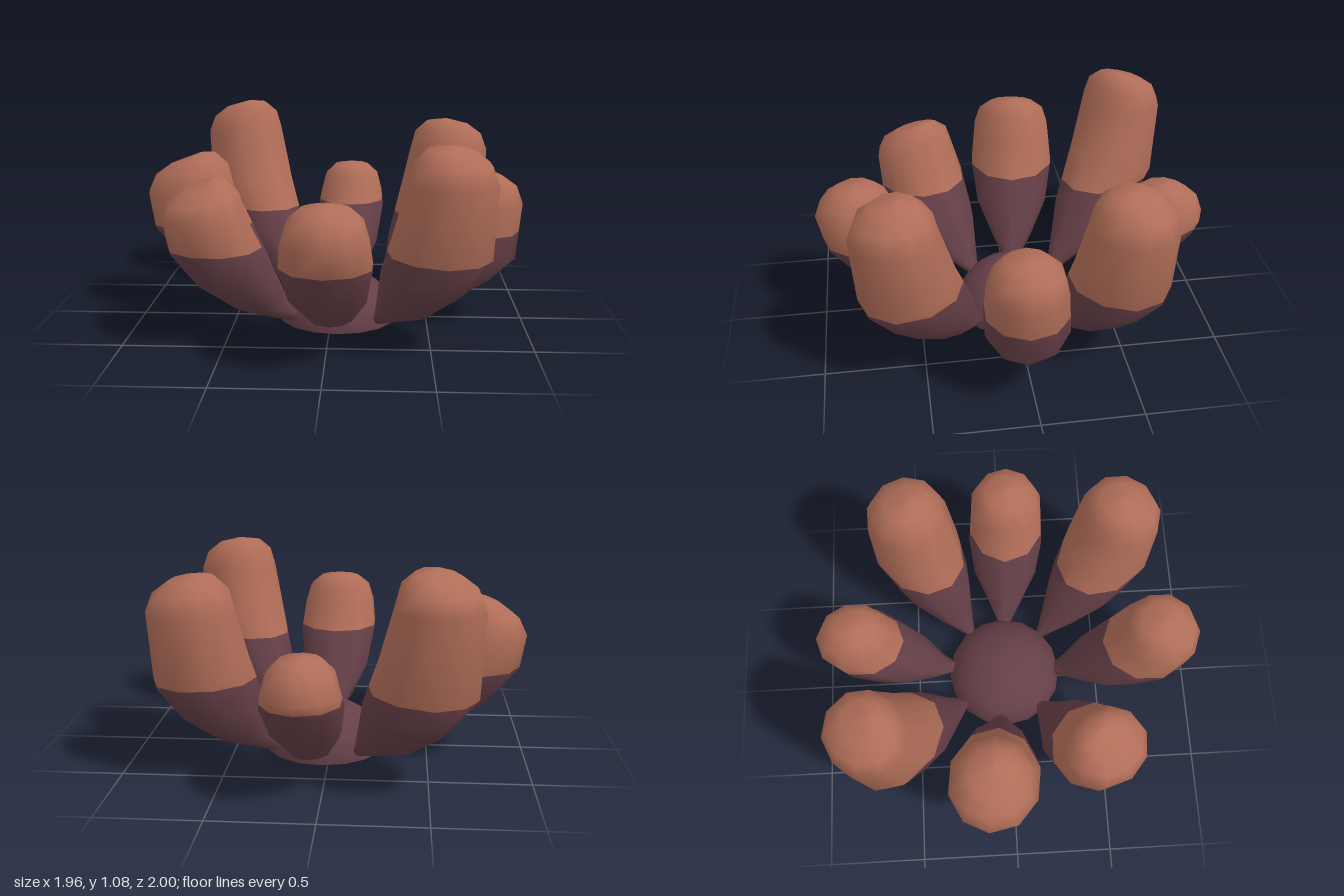
import * as THREE from 'three';

const SIDES = 10;
const COLOUR_LINE = 0.485; // height where the dark base meets the tan tips

const dark = new THREE.MeshStandardMaterial({ color: 0x653f47, side: THREE.DoubleSide });
dark.name = 'dark plum';
const tan = new THREE.MeshStandardMaterial({ color: 0xb06d58, side: THREE.DoubleSide });
tan.name = 'terracotta';

// Closed lobe: each ring is spanned by an outer and an inner point in the radial plane
function lobeGeometry({ root, crown, r, H, tilt = 0, sag = 1, wide = 1 }) {
  const start = new THREE.Vector3(root[0], 0, root[1]);
  const e = new THREE.Vector3(crown[0], 0, crown[1]).sub(start);
  const R = e.length() + r;
  e.normalize();
  const side = new THREE.Vector3(e.z, 0, -e.x);
  const inn = R - 2 * r, drop = 0.8 * tilt * r, lift = 0.25 * tilt * r, w = r * wide;
  // outer distance, outer y, inner distance, inner y, half width
  const rings = [
    [-0.045, 0.06, -0.045, 0.06, 0],
    [0.01, 0.03, -0.015, 0.085, 0.03],
    [0.46 * R, 0.145 * sag, 0.1 * inn, 0.17 * H, 0.52 * w],
    [0.76 * R, 0.295 * sag, 0.35 * inn, 0.37 * H, 0.93 * w],
    [0.96 * R, 0.47 * sag, 0.72 * inn, 0.61 * H, 1.08 * w],
    [R, H - 0.8 * r - drop / 2, inn, H - 0.8 * r, w],
    [R - 0.17 * r, H - 0.34 * r - drop, inn + 0.12 * r, H - 0.34 * r + lift, 0.86 * w],
    [R - 0.55 * r, H - 0.07 * r - drop, inn + 0.42 * r, H - 0.07 * r + lift, 0.54 * w],
    [R - r * (1 + tilt), H, R - r * (1 + tilt), H, 0],
  ];
  const pos = [], index = [];
  rings.forEach(([od, oy, id, iy, half], i) => {
    for (let j = 0; j < SIDES; j++) {
      const a = (j / SIDES) * Math.PI * 2, c = Math.cos(a);
      const p = start.clone()
        .addScaledVector(e, (od + id) / 2 + c * (od - id) / 2)
        .addScaledVector(side, half * Math.sin(a));
      pos.push(p.x, (oy + iy) / 2 + c * (oy - iy) / 2, p.z);
      // Quads between rings, single triangles at the two poles
      const k = (j + 1) % SIDES, n = i * SIDES, m = n + SIDES;
      if (i > 0 && i < rings.length - 1) index.push(n + j, n + k, m + k);
      if (i < rings.length - 2) index.push(n + j, m + k, m + j);
    }
  });
  const g = new THREE.BufferGeometry();
  g.setAttribute('position', new THREE.Float32BufferAttribute(pos, 3));
  g.setIndex(index);
  g.computeVertexNormals();
  return g;
}

// Keeps the part of a geometry above (sign 1) or below (sign -1) a level, with its smooth normals
function clipAt(g, level, sign) {
  const P = g.attributes.position, N = g.attributes.normal, idx = g.index.array;
  const pos = [], nor = [];
  const vert = i => ({
    p: new THREE.Vector3().fromBufferAttribute(P, i),
    n: new THREE.Vector3().fromBufferAttribute(N, i),
  });
  for (let t = 0; t < idx.length; t += 3) {
    const tri = [vert(idx[t]), vert(idx[t + 1]), vert(idx[t + 2])], poly = [];
    tri.forEach((a, i) => {
      const b = tri[(i + 1) % 3];
      const da = (a.p.y - level) * sign, db = (b.p.y - level) * sign;
      if (da >= 0) poly.push(a);
      if (da * db < 0) {
        const f = da / (da - db);
        poly.push({ p: a.p.clone().lerp(b.p, f), n: a.n.clone().lerp(b.n, f).normalize() });
      }
    });
    for (let i = 1; i + 1 < poly.length; i++) {
      for (const v of [poly[0], poly[i], poly[i + 1]]) {
        pos.push(v.p.x, v.p.y, v.p.z);
        nor.push(v.n.x, v.n.y, v.n.z);
      }
    }
  }
  const out = new THREE.BufferGeometry();
  out.setAttribute('position', new THREE.Float32BufferAttribute(pos, 3));
  out.setAttribute('normal', new THREE.Float32BufferAttribute(nor, 3));
  return out;
}

export function createModel() {
  const model = new THREE.Group();
  model.name = 'lobedCluster';

  // Hollow dome, open underneath
  const dome = new THREE.Mesh(
    new THREE.SphereGeometry(0.31, 16, 6, 0, Math.PI * 2, 0, Math.PI / 2), dark);
  dome.scale.y = 0.8;
  dome.position.set(0.035, 0, -0.015);
  dome.name = 'baseDome';
  model.add(dome);

  // Lobes: root and crown in x, z, radius, height, lean of the cap, height of the underside, breadth
  const lobes = {
    frontLobe: { root: [0.025, 0.265], crown: [0.007, 0.793], r: 0.205, H: 0.775 },
    frontLeftLobe: { root: [0.25, 0.21], crown: [0.58, 0.615], r: 0.205, H: 1.01, tilt: 0.1, wide: 1.04 },
    leftLobe: { root: [0.31, 0], crown: [0.78, 0.033], r: 0.2, H: 0.79, sag: 0.72, wide: 0.97 },
    backLeftLobe: { root: [0.28, -0.2], crown: [0.635, -0.485], r: 0.213, H: 1.0, tilt: 0.1 },
    backLobe: { root: [0.065, -0.3], crown: [0.087, -0.79], r: 0.21, H: 0.7, wide: 0.87 },
    backRightLobe: { root: [-0.155, -0.255], crown: [-0.53, -0.695], r: 0.2, H: 1.075, tilt: 0.25, wide: 1.09 },
    rightLobe: { root: [-0.25, -0.045], crown: [-0.75, -0.11], r: 0.235, H: 0.86, tilt: 0.25, wide: 0.94 },
    frontRightLobe: { root: [-0.19, 0.18], crown: [-0.592, 0.455], r: 0.197, H: 0.815, tilt: 0.3, wide: 1.11 },
  };
  for (const [name, spec] of Object.entries(lobes)) {
    const g = lobeGeometry(spec);
    const lobe = new THREE.Group();
    lobe.name = name;
    const lower = new THREE.Mesh(clipAt(g, COLOUR_LINE, -1), dark);
    lower.name = 'lobeBase';
    const upper = new THREE.Mesh(clipAt(g, COLOUR_LINE, 1), tan);
    upper.name = 'lobeTip';
    lobe.add(lower, upper);
    model.add(lobe);
  }
  return model;
}
